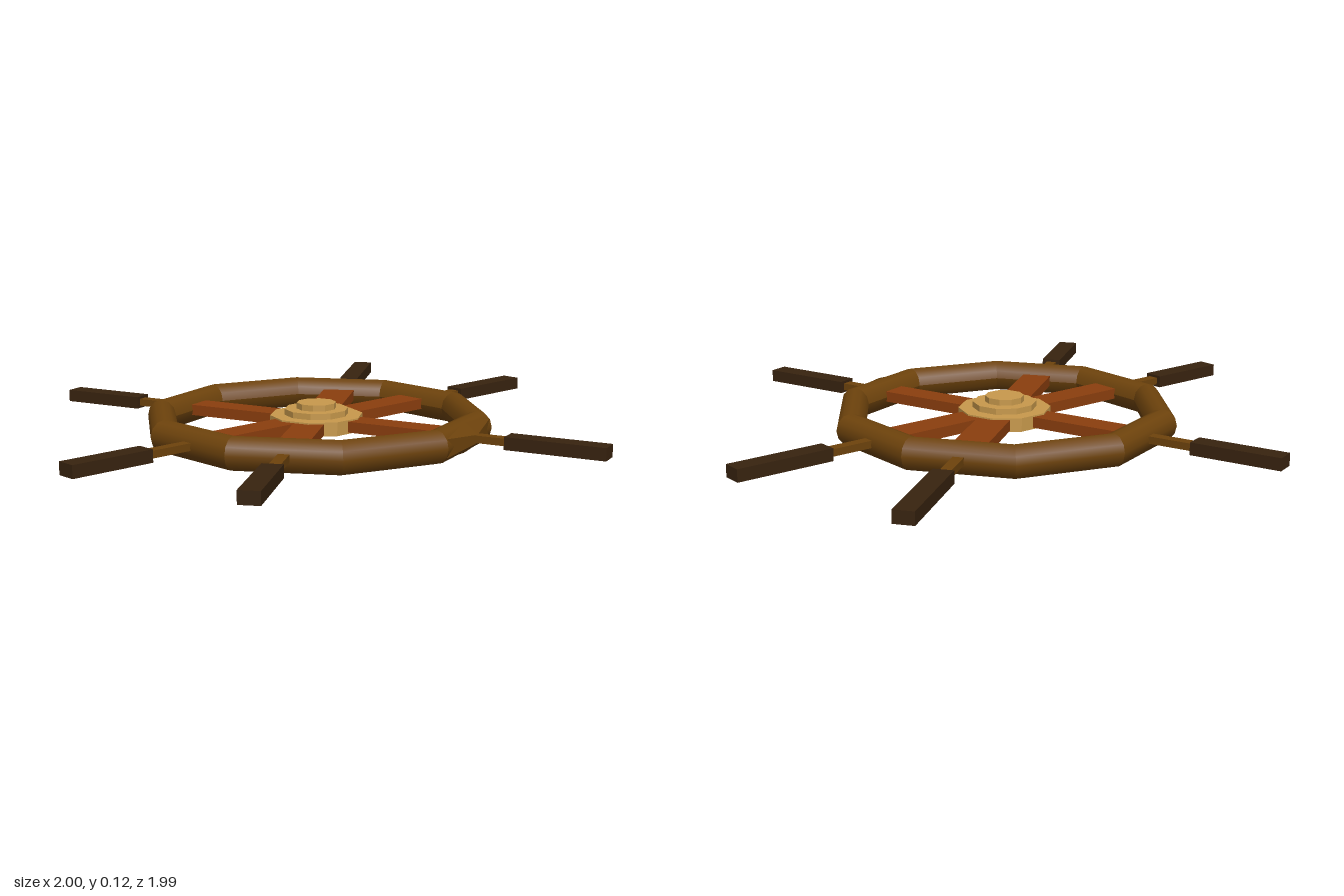
import * as THREE from 'three';
import { ConvexGeometry } from 'three/addons/geometries/ConvexGeometry.js';

const MID = 0.055; // height of the wheel's middle plane

export function createModel() {
  const mat = (name, color) => {
    const m = new THREE.MeshStandardMaterial({ color });
    m.name = name;
    return m;
  };
  const rimWood = mat('rim brown', 0x6e430c);
  const spokeWood = mat('red brown', 0x8b3e0e);
  const gripWood = mat('dark brown', 0x38230f);
  const brass = mat('pale gold', 0xc8994c);

  const model = new THREE.Group();
  model.name = 'shipWheel';
  const wheel = new THREE.Group();
  wheel.name = 'wheel';
  wheel.position.z = 0.02;
  model.add(wheel);

  const add = (parent, name, geometry, material) => {
    const mesh = new THREE.Mesh(geometry, material);
    mesh.name = name;
    parent.add(mesh);
    return mesh;
  };

  // Rim: ten straight lengths of round tube with mitred ends
  const profile = [];
  for (let i = 0; i <= 12; i++) {
    const a = Math.PI + (i / 12) * Math.PI * 2;
    profile.push(new THREE.Vector2(0.532 + 0.049 * Math.cos(a), MID + 0.054 * Math.sin(a)));
  }
  const length = new THREE.LatheGeometry(profile, 1, -Math.PI / 10, Math.PI / 5);
  const normals = length.attributes.normal;
  for (let i = 0; i < normals.count; i++) {
    const n = new THREE.Vector3(0, normals.getY(i), normals.getZ(i)).normalize();
    normals.setXYZ(i, n.x, n.y, n.z);
  }
  for (let i = 0; i < 10; i++) {
    add(wheel, 'rimSegment', length, rimWood).rotation.y = (i + 0.5) * Math.PI / 5;
  }

  // Pointed swelling on the model's left side of the rim
  const swelling = [];
  for (const s of [-1, 1]) {
    for (const t of [-1, 1]) swelling.push(new THREE.Vector3(0.546, MID + t * 0.03, s * 0.175));
    swelling.push(new THREE.Vector3(0.575, MID + s * 0.013, 0));
    swelling.push(new THREE.Vector3(0.53, MID + s * 0.05, 0));
  }
  add(wheel, 'rimSwelling', new ConvexGeometry(swelling), rimWood);

  // Spokes: [angle, plank width, grip start, grip end]
  const spokes = [
    [0, 0.09, 0.675, 1.0],
    [72, 0.105, 0.7, 1.03],
    [108, 0.11, 0.7, 1.065],
    [180, 0.09, 0.7, 1.0],
    [252, 0.1, 0.705, 0.992],
    [288, 0.1, 0.705, 1.01],
  ];
  const bar = (parent, name, from, to, height, width, material) => {
    const mesh = add(parent, name, new THREE.BoxGeometry(to - from, height, width), material);
    mesh.position.set((from + to) / 2, MID + 0.002, 0);
  };
  for (const [angle, width, start, end] of spokes) {
    const spoke = new THREE.Group();
    spoke.name = 'spoke';
    spoke.rotation.y = THREE.MathUtils.degToRad(angle);
    wheel.add(spoke);
    bar(spoke, 'plank', 0.08, 0.5, 0.036, width, spokeWood);
    bar(spoke, 'rod', 0.49, start + 0.01, 0.024, 0.036, rimWood);
    bar(spoke, 'grip', start, end, 0.041, 0.066, gripWood);
  }

  // Hub: three stepped ten-sided discs
  for (const [radius, bottom, top] of [[0.155, 0.034, 0.08], [0.107, 0.075, 0.1], [0.066, 0.095, 0.12]]) {
    const geometry = new THREE.CylinderGeometry(radius, radius, top - bottom, 10).toNonIndexed();
    geometry.computeVertexNormals();
    const disc = add(wheel, 'hubDisc', geometry, brass);
    disc.position.y = (top + bottom) / 2;
    disc.rotation.y = Math.PI / 10;
  }
  return model;
}
